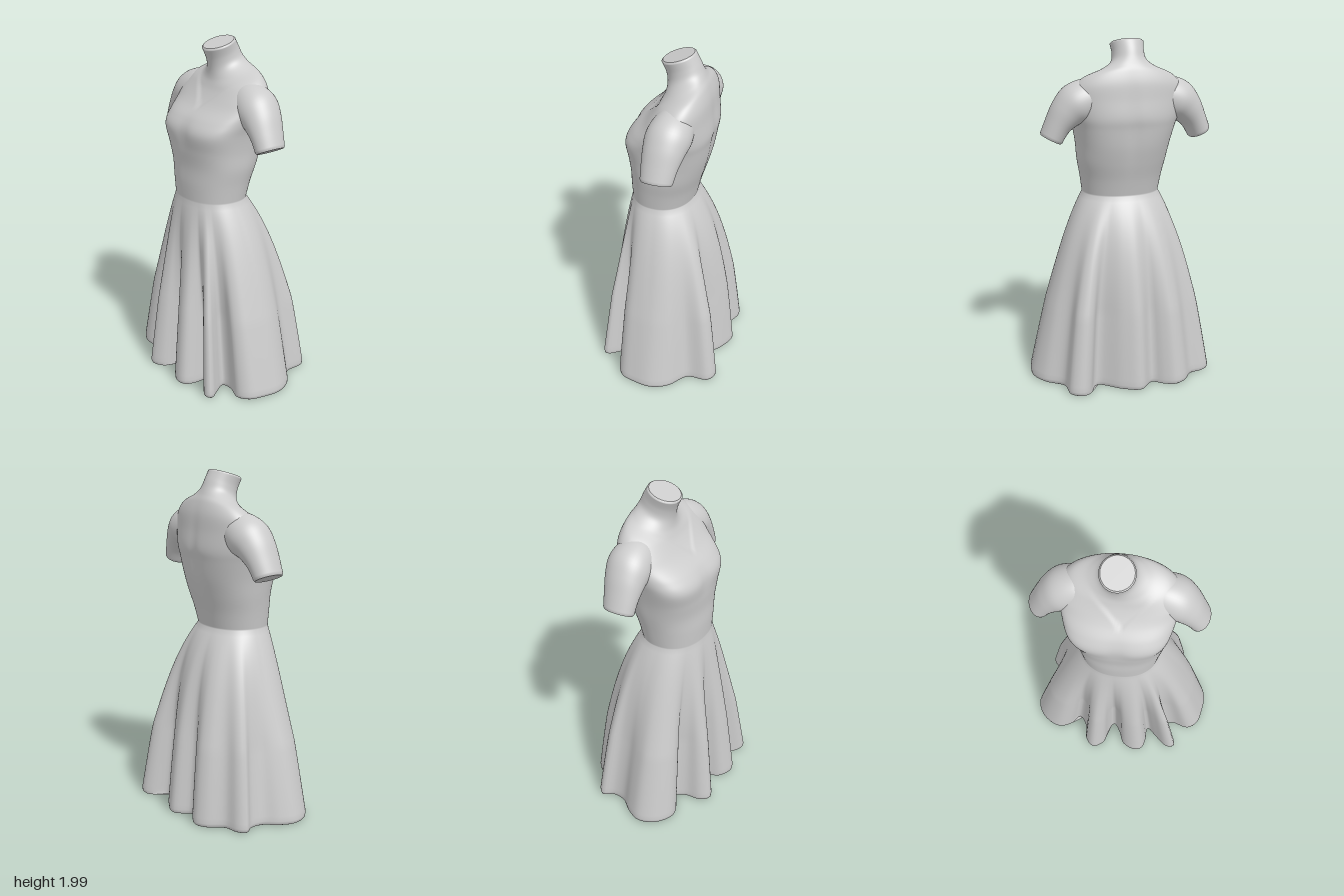
import * as THREE from 'three';

const N = 192; // points around the body
const TAU = Math.PI * 2;
const lerp = THREE.MathUtils.lerp;
const bell = (v, c, w) => Math.exp(-(((v - c) / w) ** 2));

// Hem outline (x, z), from the left side round the front, right and back
const HEM = [
  [0.555, -0.03], [0.545, 0.08], [0.52, 0.16], [0.46, 0.2], [0.36, 0.175], [0.3, 0.19],
  [0.34, 0.26], [0.38, 0.325], [0.36, 0.345], [0.32, 0.34], [0.25, 0.28], [0.19, 0.23],
  [0.18, 0.32], [0.16, 0.37], [0.11, 0.385], [0.035, 0.35], [0, 0.27], [-0.04, 0.22],
  [-0.075, 0.28], [-0.1, 0.355], [-0.17, 0.39], [-0.215, 0.345], [-0.23, 0.25], [-0.28, 0.19],
  [-0.34, 0.25], [-0.42, 0.27], [-0.52, 0.21], [-0.56, 0.11], [-0.525, 0.02], [-0.465, -0.06],
  [-0.46, -0.14], [-0.495, -0.195], [-0.46, -0.235], [-0.37, -0.26], [-0.295, -0.35],
  [-0.235, -0.375], [-0.17, -0.35], [-0.11, -0.31], [-0.02, -0.39], [0.08, -0.355],
  [0.22, -0.26], [0.28, -0.355], [0.33, -0.38], [0.39, -0.345], [0.405, -0.22], [0.51, -0.13],
];

// Bodice and neck: y, centre x, half width, front z, back z, roundness, tilt
const RINGS = [
  [1.1, -0.01, 0.225, 0.235, -0.13, 0.9, 0],
  [1.2, -0.01, 0.24, 0.238, -0.155, 0.88, 0],
  [1.3, -0.01, 0.258, 0.235, -0.185, 0.82, 0],
  [1.4, -0.015, 0.27, 0.242, -0.21, 0.72, 0],
  [1.5, -0.02, 0.29, 0.247, -0.225, 0.64, 0],
  [1.57, -0.02, 0.31, 0.208, -0.235, 0.72, 0],
  [1.65, -0.02, 0.325, 0.142, -0.225, 0.8, 0.1],
  [1.72, -0.02, 0.315, 0.1, -0.215, 0.83, 0.25],
  [1.78, -0.02, 0.26, 0.065, -0.195, 0.9, 0.35],
  [1.82, -0.025, 0.165, 0.045, -0.175, 1, 0.4],
  [1.86, -0.028, 0.105, 0.04, -0.158, 1, 0.4],
  [1.91, -0.03, 0.09, 0.05, -0.138, 1, 0.36],
  [1.963, -0.03, 0.095, 0.075, -0.11, 1, 0.32],
];

// Sleeve: centre x, y, z, axis direction x, y, in-plane radius, z radius
const SLEEVE = [
  [0.1, 1.69, -0.07, 1, -0.3, 0.085, 0.08],
  [0.2, 1.675, -0.065, 1, -0.4, 0.112, 0.11],
  [0.29, 1.64, -0.06, 0.85, -0.55, 0.119, 0.125],
  [0.35, 1.59, -0.053, 0.65, -0.76, 0.098, 0.115],
  [0.402, 1.52, -0.045, 0.5, -0.87, 0.075, 0.1],
  [0.437, 1.45, -0.04, 0.45, -0.89, 0.067, 0.09],
];

// Smooth interpolation through rows of numbers, u from 0 to 1
function sample(rows, u) {
  const last = rows.length - 1;
  const i = Math.min(Math.floor(u * last), last - 1), f = u * last - i;
  const r = (k) => rows[THREE.MathUtils.clamp(k, 0, last)];
  return rows[i].map((b, k) => {
    const a = r(i - 1)[k], c = r(i + 1)[k], d = r(i + 2)[k];
    return b + 0.5 * f * (c - a + f * (2 * a - 5 * b + 4 * c - d + f * (3 * (b - c) + d - a)));
  });
}

const middle = (ring) =>
  ring.reduce((m, p) => m.add(p), new THREE.Vector3()).divideScalar(ring.length);

// Slightly smaller ring beyond the last one, for a soft rim
function softRim(ring, x, y) {
  const mid = middle(ring), step = new THREE.Vector3(x, y, 0);
  return ring.map((p) => p.clone().lerp(mid, 0.08).add(step));
}

// Skin closed rings of points; flat caps have their own vertices so rims stay crisp
function loft(rings, capStart) {
  const n = rings[0].length, pts = rings.flat(), index = [];
  for (let j = 0; j < rings.length - 1; j++) {
    for (let i = 0; i < n; i++) {
      const a = j * n + i, b = j * n + ((i + 1) % n);
      index.push(a, a + n, b, b, a + n, b + n);
    }
  }
  const cap = (ring, flip) => {
    const s = pts.length;
    pts.push(...ring, middle(ring));
    for (let i = 0; i < n; i++) {
      const a = s + i, b = s + ((i + 1) % n);
      index.push(s + n, flip ? a : b, flip ? b : a);
    }
  };
  if (capStart) cap(rings[0], true);
  cap(rings[rings.length - 1], false);
  const g = new THREE.BufferGeometry().setFromPoints(pts);
  g.setIndex(index);
  g.computeVertexNormals();
  return g;
}

function bodicePoint(row, th) {
  const [y, cx, hw, zf, zb, round, tilt] = row;
  const c = Math.cos(th), s = Math.sin(th), mid = (zf + zb) / 2;
  // the chest is squarer than the back
  const e = s > 0 ? round : lerp(round, 1, 0.35);
  const x = cx + hw * Math.sign(c) * Math.abs(c) ** e;
  let z = mid + ((zf - zb) / 2) * Math.sign(s) * Math.abs(s) ** e;
  const py = y - (z - mid) * tilt;
  if (s > 0) {
    // hollow between the busts and the sunken V neckline
    z -= 0.009 * s * bell(x, -0.02, 0.06) * bell(y, 1.5, 0.07);
    const inside = THREE.MathUtils.smoothstep(py - 1.62 - 0.95 * Math.abs(x), -0.015, 0.015);
    z -= 0.009 * s * inside * THREE.MathUtils.smoothstep(1.85 - y, 0, 0.1);
  } else {
    // spine groove
    z -= 0.007 * s * bell(x, -0.02, 0.04) * bell(y, 1.5, 0.2);
  }
  return new THREE.Vector3(x, py, z);
}

// Angle of every column: that of the hem, averaged so pleats fade evenly to the waist
function columns() {
  const curve = new THREE.CatmullRomCurve3(HEM.map(([x, z]) => new THREE.Vector3(x, 0, z)), true);
  const hem = curve.getSpacedPoints(N).slice(0, N);
  const raw = [];
  hem.forEach((p, i) => {
    let a = Math.atan2(p.z / 0.36, p.x / 0.52);
    if (i) a += TAU * Math.round((raw[i - 1] - a) / TAU);
    raw.push(a);
  });
  const R = 10;
  const angle = raw.map((_, i) => {
    let sum = 0;
    for (let k = i - R; k <= i + R; k++) sum += raw[(k + N) % N] + TAU * Math.floor(k / N);
    return sum / (2 * R + 1);
  });
  return { hem, angle };
}

function skirtRings({ hem, angle }) {
  const rings = [], steps = 36;
  // hem turned under
  rings.push(hem.map((p) => new THREE.Vector3(p.x * 0.975, 0.005, p.z * 0.975)));
  rings.push(hem.map((p) => new THREE.Vector3(p.x * 0.995, 0.012, p.z * 0.995)));
  for (let k = 0; k <= steps; k++) {
    const t = 1 - k / steps, pleat = Math.min(1, 0.15 + 1.4 * t);
    rings.push(hem.map((p, i) => {
      const c = Math.cos(angle[i]), s = Math.sin(angle[i]);
      // swells over the hips, most at the back, then falls straight to the hem
      const swell = lerp(0.28, 0.6, Math.max(0, -s));
      const flare = lerp(t, (1 - Math.exp(-4.7 * t)) / (1 - Math.exp(-4.7)), swell);
      const w = bodicePoint(RINGS[0], angle[i]);
      const x = lerp(0.51 * c, p.x, pleat), z = lerp(0.36 * s, p.z, pleat);
      return new THREE.Vector3(lerp(w.x, x, flare), lerp(1.1, 0.03, t), lerp(w.z, z, flare));
    }));
  }
  return rings;
}

function sleeveRings(side) {
  const rings = [], steps = 30, n = 48;
  for (let k = 0; k <= steps; k++) {
    const [cx, cy, cz, dx, dy, r, rz] = sample(SLEEVE, k / steps);
    const len = Math.hypot(dx, dy);
    rings.push(Array.from({ length: n }, (_, i) => {
      const a = (i / n) * TAU, c = (r * Math.cos(a)) / len;
      return new THREE.Vector3(side * (cx - dy * c) - 0.0225, cy + dx * c, cz - side * rz * Math.sin(a));
    }));
  }
  return [...rings, softRim(rings[steps], side * 0.004, -0.009)];
}

export function createModel() {
  const group = new THREE.Group();
  const material = new THREE.MeshStandardMaterial({ color: 0xcccccc });
  const add = (name, geometry) => {
    const mesh = new THREE.Mesh(geometry, material);
    mesh.name = name;
    group.add(mesh);
  };

  const cols = columns();
  const bodice = [];
  for (let k = 1; k <= 84; k++) {
    const row = sample(RINGS, k / 84);
    bodice.push(cols.angle.map((a) => bodicePoint(row, a)));
  }
  bodice.push(softRim(bodice[83], 0, 0.007));
  // skirt, bodice and neck are one continuous skin
  add('dressBody', loft([...skirtRings(cols), ...bodice], true));
  add('leftSleeve', loft(sleeveRings(1), false));
  add('rightSleeve', loft(sleeveRings(-1), false));
  return group;
}
